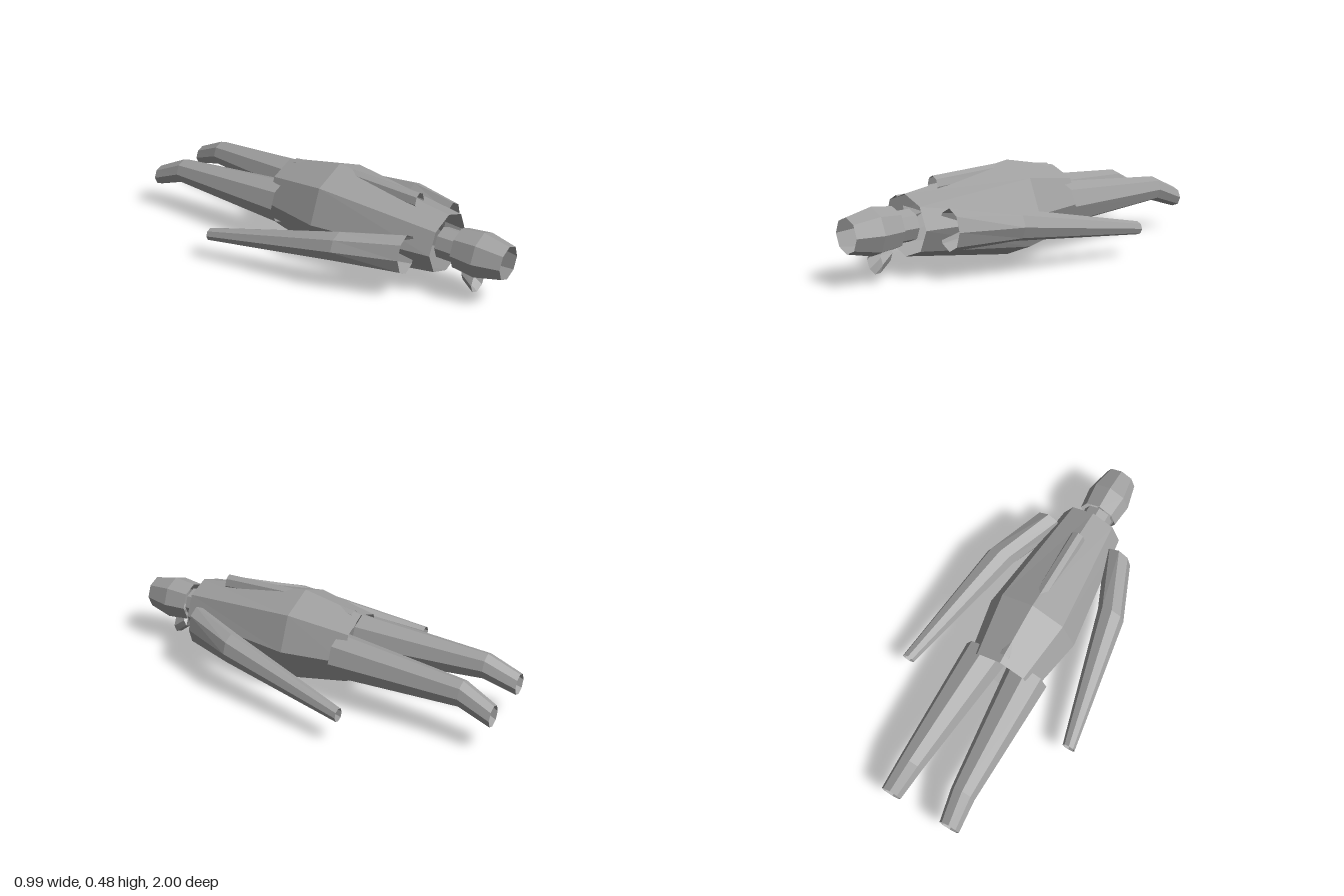
import * as THREE from 'three';

const SIDES = 8;

// Open eight-sided tube through rings [x, y, z, rx, ry], listed from front to back.
function loft(rings) {
  const positions = [];
  const index = [];
  for (const [x, y, z, rx, ry] of rings) {
    for (let j = 0; j < SIDES; j++) {
      const a = (j / SIDES) * Math.PI * 2;
      positions.push(x + Math.cos(a) * rx, y + Math.sin(a) * ry, z);
    }
  }
  for (let i = 0; i < rings.length - 1; i++) {
    for (let j = 0; j < SIDES; j++) {
      const a = i * SIDES + j;
      const b = i * SIDES + ((j + 1) % SIDES);
      index.push(a, a + SIDES, b, b, a + SIDES, b + SIDES);
    }
  }
  const geometry = new THREE.BufferGeometry();
  geometry.setAttribute('position', new THREE.Float32BufferAttribute(positions, 3));
  geometry.setIndex(index);
  const flat = geometry.toNonIndexed();
  flat.computeVertexNormals();
  return flat;
}

export function createModel() {
  const group = new THREE.Group();
  const grey = new THREE.MeshStandardMaterial({
    name: 'grey', color: 0xa0a0a0, flatShading: true, side: THREE.DoubleSide,
  });
  const add = (name, rings) => {
    const mesh = new THREE.Mesh(loft(rings), grey);
    mesh.name = name;
    group.add(mesh);
  };

  // Body along z
  add('head', [
    [0, 0.243, 1, 0.083, 0.083],
    [0, 0.242, 0.87, 0.113, 0.113],
    [0, 0.242, 0.755, 0.1, 0.1],
  ]);
  add('neck', [
    [0, 0.24, 0.76, 0.077, 0.077],
    [0, 0.24, 0.66, 0.077, 0.077],
  ]);
  add('torso', [
    [0, 0.243, 0.685, 0.16, 0.146],
    [0, 0.24, 0.07, 0.238, 0.238],
    [0, 0.241, -0.24, 0.18, 0.178],
  ]);

  // Short sheared tube under the head
  add('chin', [
    [0, 0.1, 0.855, 0.062, 0.057],
    [0, 0.142, 0.795, 0.052, 0.052],
  ]);

  // Slim ridge sunk into the back
  add('backRidge', [
    [0, 0.405, 0.525, 0.038, 0.048],
    [0, 0.42, 0.13, 0.036, 0.048],
    [0, 0.385, -0.2, 0.034, 0.048],
  ]);

  // Limbs, mirrored
  for (const [side, s] of [['left', 1], ['right', -1]]) {
    add(side + 'Arm', [
      [s * 0.203, 0.24, 0.59, 0.073, 0.1],
      [s * 0.32, 0.24, 0.3, 0.072, 0.075],
      [s * 0.46, 0.147, -0.375, 0.033, 0.033],
    ]);
    add(side + 'Leg', [
      [s * 0.116, 0.242, -0.185, 0.11, 0.113],
      [s * 0.145, 0.24, -0.84, 0.063, 0.065],
      [s * 0.162, 0.178, -1, 0.053, 0.053],
    ]);
  }
  return group;
}
